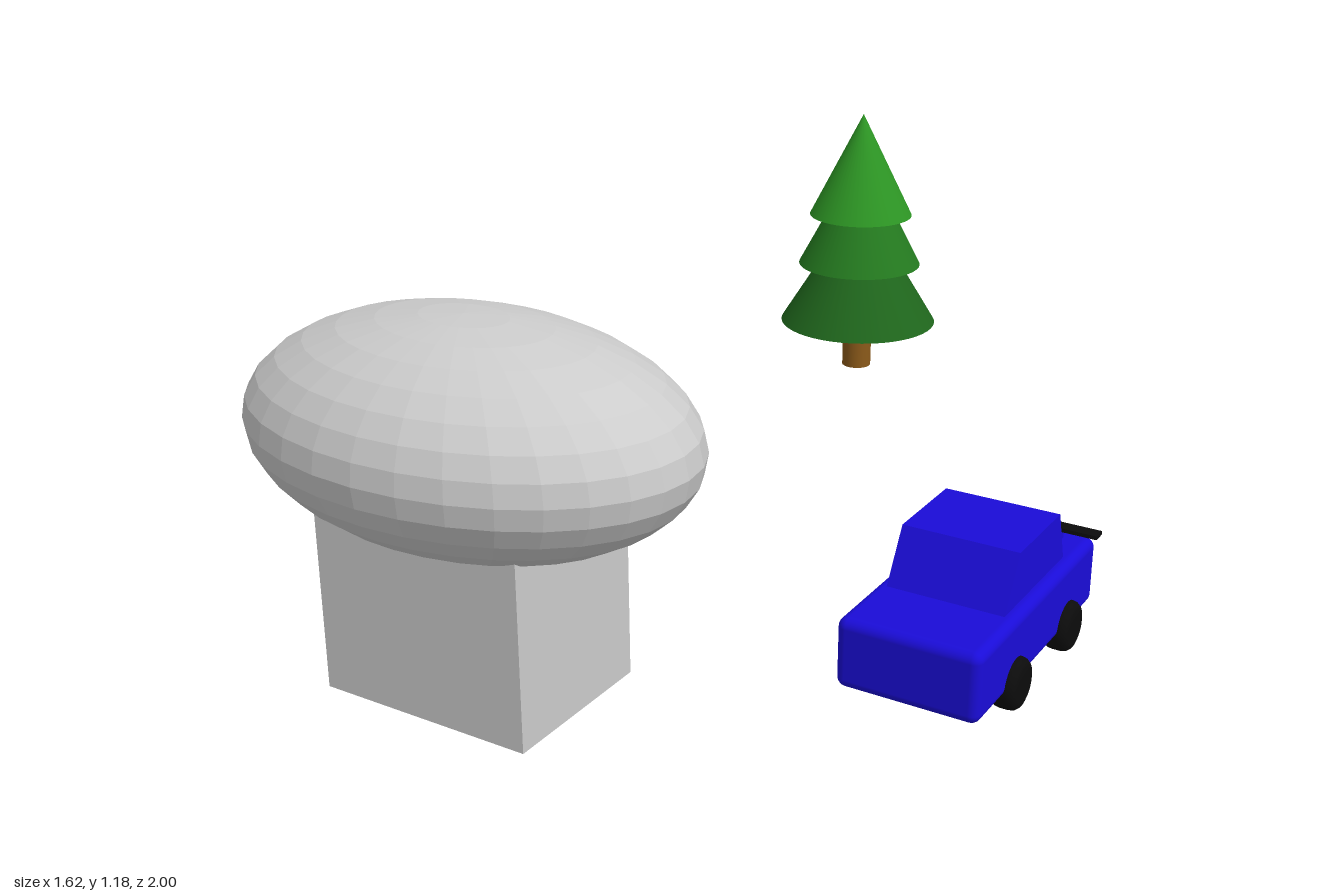
import * as THREE from 'three';
import { RoundedBoxGeometry } from 'three/addons/geometries/RoundedBoxGeometry.js';

const mat = (color, flatShading = false) => new THREE.MeshStandardMaterial({ color, flatShading });
const grey = mat(0xcccccc, true);
const blue = mat(0x1a0cd8);
const black = mat(0x0c0c0c);
const brown = mat(0x8b5a1a);

function add(parent, name, geometry, material, x, y, z) {
  const mesh = new THREE.Mesh(geometry, material);
  mesh.name = name;
  mesh.position.set(x, y, z);
  parent.add(mesh);
  return mesh;
}

function group(parent, name, x, y, z) {
  const g = new THREE.Group();
  g.name = name;
  g.position.set(x, y, z);
  parent.add(g);
  return g;
}

// Faceted ellipsoid resting on a box
function buildMonument(root) {
  const g = group(root, 'monument', -0.247, 0, 0.615);
  add(g, 'pedestal', new THREE.BoxGeometry(0.55, 0.5, 0.41), grey, 0, 0.35, 0.008);
  const cap = add(g, 'ellipsoidCap', new THREE.SphereGeometry(1, 32, 16), grey, 0, 0.72, 0);
  cap.scale.set(0.563, 0.26, 0.382);
}

// Three stacked cones on a trunk
function buildTree(root) {
  const g = group(root, 'tree', -0.017, 0, -0.79);
  add(g, 'trunk', new THREE.CylinderGeometry(0.039, 0.039, 0.16, 32), brown, 0, 0.56, 0);
  const tiers = [
    [0.21, 0.61, 0.34, 0x1f661c],
    [0.164, 0.772, 0.31, 0x247a1f],
    [0.137, 0.908, 0.272, 0x2d9624],
  ];
  tiers.forEach(([r, base, h, color], i) =>
    add(g, `foliageTier${i + 1}`, new THREE.ConeGeometry(r, h, 48), mat(color), 0, base + h / 2, 0));
}

function buildCar(root) {
  const g = group(root, 'car', 0.605, 0, 0);
  add(g, 'body', new RoundedBoxGeometry(0.36, 0.18, 0.732, 4, 0.025), blue, 0, 0.145, -0.201);

  // Cabin: side profile extruded across the width
  const profile = new THREE.Shape([
    [0.035, 0.225], [0.115, 0.367], [0.365, 0.367], [0.412, 0.225],
  ].map(([u, v]) => new THREE.Vector2(u, v)));
  const cabin = new THREE.ExtrudeGeometry(profile, { depth: 0.3, bevelEnabled: false });
  cabin.translate(0, 0, -0.15).rotateY(Math.PI / 2);
  add(g, 'cabin', cabin, blue, 0, 0, 0);

  // Wheels with rounded shoulders
  const section = [[0, -0.034], [0.045, -0.034], [0.056, -0.03], [0.063, -0.021], [0.065, -0.01],
    [0.065, 0.01], [0.063, 0.021], [0.056, 0.03], [0.045, 0.034], [0, 0.034]];
  const wheel = new THREE.LatheGeometry(section.map(([r, w]) => new THREE.Vector2(r, w)), 32);
  wheel.rotateZ(Math.PI / 2);
  for (const [end, z] of [['front', -0.055], ['rear', -0.385]])
    for (const [side, s] of [['Left', 1], ['Right', -1]])
      add(g, `${end}${side}Wheel`, wheel, black, s * 0.17, 0.065, z);

  // Rear spoiler on two posts
  for (const s of [1, -1])
    add(g, 'spoilerPost', new THREE.BoxGeometry(0.02, 0.04, 0.028), blue, s * 0.1, 0.244, -0.502);
  add(g, 'spoilerBlade', new THREE.BoxGeometry(0.41, 0.01, 0.038), black, 0, 0.267, -0.506);
}

export function createModel() {
  const root = new THREE.Group();
  root.name = 'scene';
  buildMonument(root);
  buildTree(root);
  buildCar(root);
  return root;
}
